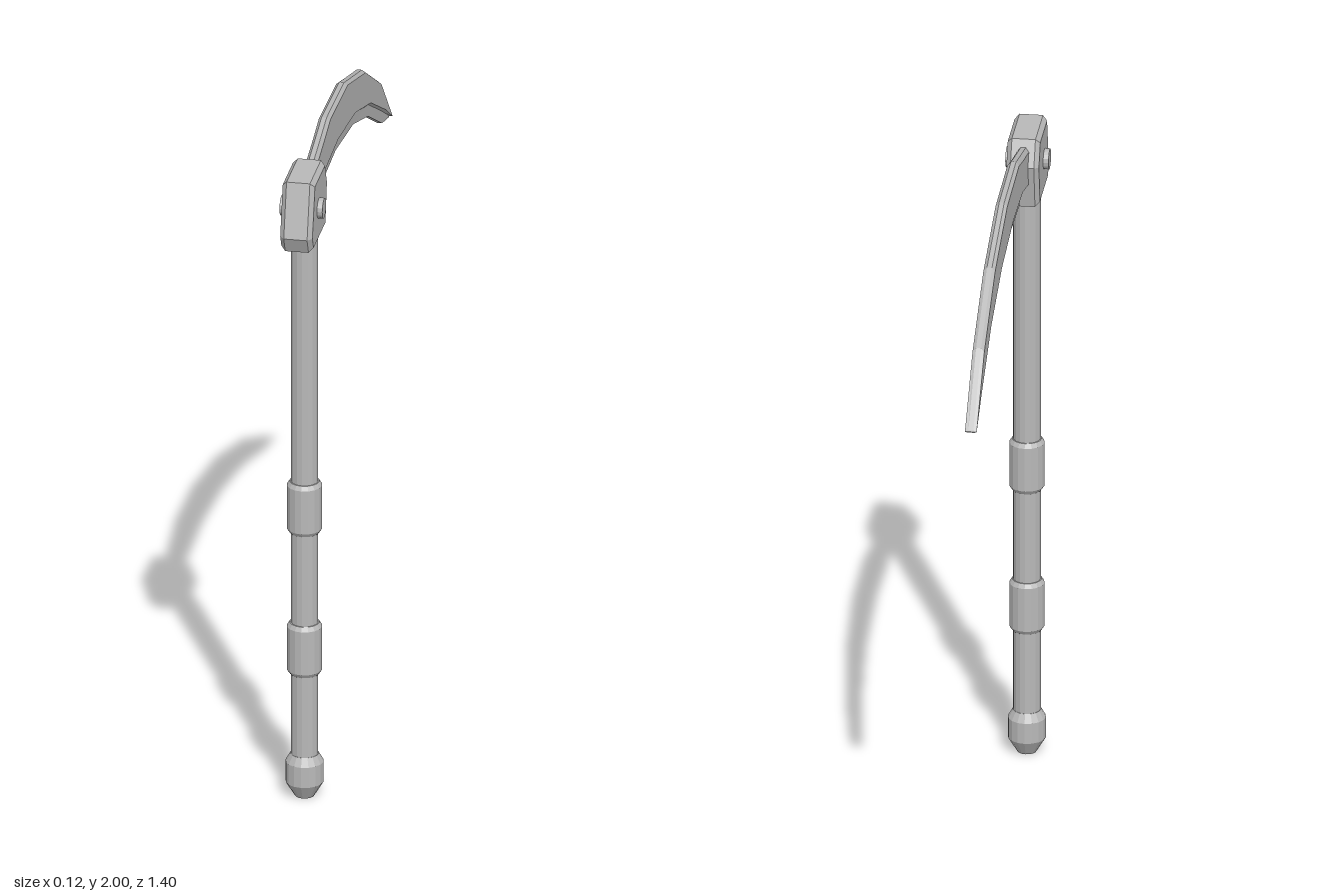
import * as THREE from 'three';

const SIDES = 16;
const SHAFT_Z = 0.56;

// Flat-shaded solid through a row of convex sections, ordered from +z to -z.
// Each section is a counter-clockwise ring of [x, y, z] seen from +z.
function loft(sections) {
  const n = sections[0].length;
  const last = sections.length - 1;
  const pos = [];
  const tri = (a, b, c) => pos.push(...a, ...b, ...c);
  for (let i = 0; i < last; i++) {
    for (let j = 0; j < n; j++) {
      const k = (j + 1) % n;
      const a = sections[i][j], b = sections[i][k];
      const c = sections[i + 1][k], d = sections[i + 1][j];
      tri(a, d, c);
      tri(a, c, b);
    }
  }
  for (let j = 1; j < n - 1; j++) {
    tri(sections[0][0], sections[0][j], sections[0][j + 1]);
    tri(sections[last][0], sections[last][j + 1], sections[last][j]);
  }
  const g = new THREE.BufferGeometry();
  g.setAttribute('position', new THREE.Float32BufferAttribute(pos, 3));
  g.computeVertexNormals();
  return g;
}

// Bar section between a lower and an upper [z, y] point, with chamfered corners.
function barSection(top, bottom, half, chamfer) {
  const height = Math.hypot(top[0] - bottom[0], top[1] - bottom[1]);
  const t = Math.min(chamfer / height, 0.35);
  const inner = half - chamfer * 0.75;
  const at = (x, f) => [
    x,
    bottom[1] + (top[1] - bottom[1]) * f,
    bottom[0] + (top[0] - bottom[0]) * f,
  ];
  return [
    at(inner, 0), at(half, t), at(half, 1 - t), at(inner, 1),
    at(-inner, 1), at(-half, 1 - t), at(-half, t), at(-inner, 0),
  ];
}

export function createModel() {
  const group = new THREE.Group();
  const metal = new THREE.MeshStandardMaterial({ color: 0xb8b8b8, flatShading: true });
  metal.name = 'grey metal';

  const add = (name, geometry, x = 0, y = 0, z = 0) => {
    const mesh = new THREE.Mesh(geometry, metal);
    mesh.name = name;
    mesh.position.set(x, y, z);
    group.add(mesh);
    return mesh;
  };
  const turned = (points) =>
    new THREE.LatheGeometry(points.map(([r, y]) => new THREE.Vector2(r, y)), SIDES);

  // Handle
  add('shaft', new THREE.CylinderGeometry(0.04, 0.04, 1.69, SIDES), 0, 0.945, SHAFT_Z);
  [['lowerGrip', 0.385], ['upperGrip', 0.828]].forEach(([name, y]) => {
    add(name, turned([
      [0.038, 0], [0.043, 0], [0.051, 0.012], [0.051, 0.147], [0.043, 0.16], [0.038, 0.16],
    ]), 0, y, SHAFT_Z);
  });
  add('pommel', turned([
    [0, 0], [0.028, 0], [0.055, 0.045], [0.055, 0.108], [0.041, 0.133], [0, 0.133],
  ]), 0, 0, SHAFT_Z);

  // Head block: six-sided side outline in [z, y], bevelled across the width
  const outline = [
    [0.476, 1.757], [0.677, 1.757], [0.70, 1.805], [0.657, 1.965], [0.487, 1.965], [0.45, 1.89],
  ];
  const bevel = 0.013;
  const head = new THREE.ExtrudeGeometry(
    new THREE.Shape(outline.map(([z, y]) => new THREE.Vector2(z, y))),
    {
      depth: 0.094 - 2 * bevel, bevelEnabled: true, bevelSegments: 1,
      bevelThickness: bevel, bevelSize: bevel, bevelOffset: -bevel,
    },
  );
  head.translate(0, 0, -(0.094 / 2 - bevel));
  head.rotateY(-Math.PI / 2);
  add('head', head);

  // Pivot pin through the head
  const pin = new THREE.CylinderGeometry(0.03, 0.03, 0.125, SIDES);
  pin.rotateZ(Math.PI / 2);
  add('pivotPin', pin, 0, 1.86, 0.587);

  // Blade: back and lower curves as [z, y]
  const back = [
    [0.49, 1.94], [0.34, 1.976], [0.26, 1.997], [-0.005, 1.99],
    [-0.28, 1.91], [-0.524, 1.767], [-0.70, 1.583],
  ];
  const belly = [
    [0.49, 1.812], [0.34, 1.853], [0.12, 1.865], [-0.14, 1.832],
    [-0.376, 1.757], [-0.60, 1.637], [-0.70, 1.580],
  ];
  add('blade', loft(back.map((p, i) => barSection(p, belly[i], 0.017, 0.013))));

  // Thin cutting edge below the blade
  const edge = [
    [0.34, 1.823], [0.12, 1.833], [-0.15, 1.796],
    [-0.376, 1.722], [-0.59, 1.606], [-0.69, 1.580],
  ];
  add('cuttingEdge', loft(edge.map(([z, y], i) => {
    const [bz, by] = belly[i + 1];
    const lift = i === edge.length - 1 ? 0.004 : 0.012;
    return [[0.007, y, z], [0.009, by + lift, bz], [-0.009, by + lift, bz], [-0.007, y, z]];
  })));

  return group;
}
